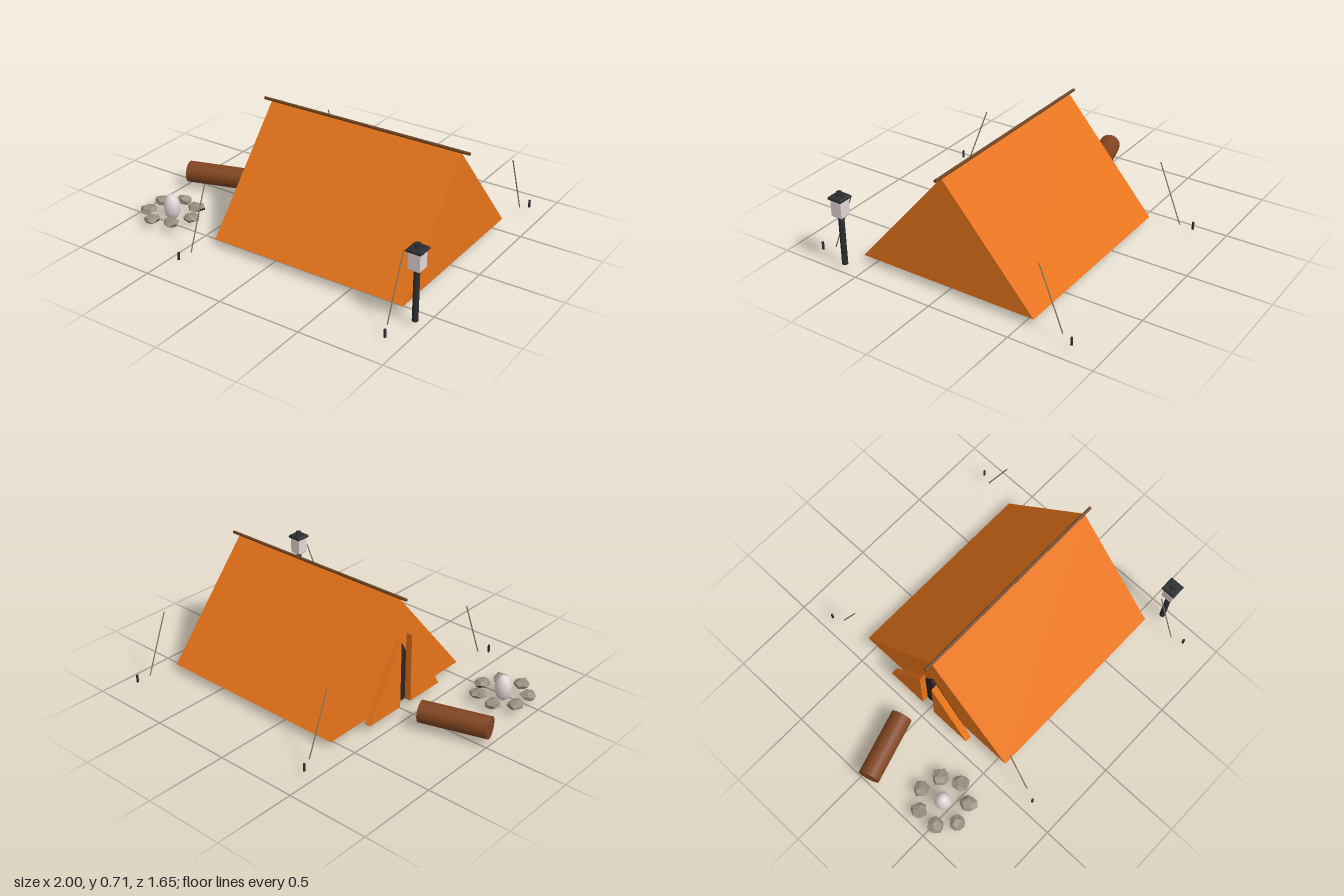
import * as THREE from 'three';

const mat = (name, color) => new THREE.MeshStandardMaterial({ name, color });

// Split a geometry in two material groups: 1 for faces that point down, 0 for the rest
function splitUnderside(geometry, limit) {
  const g = geometry.index ? geometry.toNonIndexed() : geometry;
  g.clearGroups();
  const n = g.attributes.normal;
  for (let i = 0; i < n.count; i += 3) {
    const down = (n.getY(i) + n.getY(i + 1) + n.getY(i + 2)) / 3 < limit;
    g.addGroup(i, 3, down ? 1 : 0);
  }
  return g;
}

export function createModel() {
  const M = {
    canvas: mat('orange canvas', 0xe87419),
    floor: mat('floor brown', 0x875026),
    wood: mat('log brown', 0x804420),
    pole: mat('pole brown', 0x6e4524),
    rope: mat('rope tan', 0x8a7a5e),
    metal: mat('dark metal', 0x2b2d30),
    opening: mat('doorway dark', 0x2a2322),
    stone: mat('stone grey', 0x968e80),
    soot: mat('dark underside', 0x393633),
    glow: mat('pale glow', 0xe2d4d4),
  };
  const model = new THREE.Group();
  model.name = 'campsite';

  const add = (name, geometry, material, x = 0, y = 0, z = 0, parent = model) => {
    const mesh = new THREE.Mesh(geometry, material);
    mesh.name = name;
    mesh.position.set(x, y, z);
    parent.add(mesh);
    return mesh;
  };

  // Triangular slab: corners are [z, y], running from x0 to x1
  const prism = (corners, x0, x1) => {
    const shape = new THREE.Shape(corners.map(([z, y]) => new THREE.Vector2(-z, y)));
    const g = new THREE.ExtrudeGeometry(shape, { depth: x1 - x0, bevelEnabled: false });
    return g.rotateY(Math.PI / 2).translate(x0, 0, 0);
  };

  // Round bar between two points
  const bar = (name, a, b, radius, material, parent) => {
    const from = new THREE.Vector3(...a), to = new THREE.Vector3(...b);
    const dir = to.clone().sub(from);
    const mesh = add(name, new THREE.CylinderGeometry(radius, radius, dir.length(), 16), material, 0, 0, 0, parent);
    mesh.position.copy(from).add(to).multiplyScalar(0.5);
    mesh.quaternion.setFromUnitVectors(new THREE.Vector3(0, 1, 0), dir.normalize());
  };

  // Tent body with a brown floor, doorway and the two opened flaps on the -x end
  const tent = new THREE.Group();
  tent.name = 'tent';
  model.add(tent);
  const body = prism([[0.56, 0.045], [-0.56, 0.045], [0, 0.695]], -0.38, 0.85);
  add('tentBody', splitUnderside(body, -0.9), [M.canvas, M.floor], 0, 0, 0, tent);
  add('doorway', prism([[0.225, 0.045], [-0.225, 0.045], [0, 0.435]], -0.4, -0.38), M.opening, 0, 0, 0, tent);
  for (const s of [-1, 1]) {
    add('doorFlap', prism([[s * 0.305, 0.045], [s * 0.045, 0.045], [s * 0.045, 0.47]], -0.44, -0.4), M.canvas, 0, 0, 0, tent);
  }
  bar('ridgePole', [-0.43, 0.7, 0], [0.9, 0.7, 0], 0.009, M.pole, tent);

  // Guy ropes and pegs at the four corners
  for (const [ropeX, pegX] of [[-0.4, -0.43], [0.87, 0.9]]) {
    for (const s of [-1, 1]) {
      bar('guyRope', [ropeX, 0.41, s * 0.605], [ropeX, 0.045, s * 0.748], 0.0035, M.rope, tent);
      bar('peg', [pegX, 0.022, s * 0.818], [pegX, 0.068, s * 0.818], 0.007, M.metal, tent);
    }
  }

  // Log seat with a dark strip underneath
  const logShape = new THREE.CylinderGeometry(0.065, 0.065, 0.404, 16).rotateZ(Math.PI / 2);
  add('log', splitUnderside(logShape, -0.8), [M.wood, M.soot], -0.79, 0.095, -0.003).rotation.y = 0.297;

  // Ring of irregular flattened stones, sooty below, around the pale fire
  const fire = new THREE.Group();
  fire.name = 'campfire';
  fire.position.set(-0.787, 0, 0.455);
  model.add(fire);
  let seed = 7;
  const rand = () => (seed = (seed * 16807) % 2147483647) / 2147483647;
  for (let i = 0; i < 7; i++) {
    const g = new THREE.DodecahedronGeometry(0.05, 0);
    const p = g.attributes.position, v = new THREE.Vector3();
    const bump = new Map();
    for (let k = 0; k < p.count; k++) {
      v.fromBufferAttribute(p, k);
      const key = v.toArray().map(n => Math.round(n * 1000)).join();
      if (!bump.has(key)) bump.set(key, 0.85 + rand() * 0.3);
      v.multiplyScalar(bump.get(key));
      p.setXYZ(k, v.x, v.y, v.z);
    }
    g.rotateX(rand() * 6).rotateY(rand() * 6).scale(1, 0.5, 1);
    g.computeVertexNormals();
    const a = (i / 7) * Math.PI * 2;
    add('stone', splitUnderside(g, -0.5), [M.stone, M.soot], Math.cos(a) * 0.145, 0.058, Math.sin(a) * 0.145, fire);
  }
  add('flame', new THREE.SphereGeometry(0.05, 12, 10).scale(1, 1.62, 1), M.glow, 0, 0.083, 0, fire);

  // Lantern on a post: square tiers turned from [half width, y] profiles
  const lamp = new THREE.Group();
  lamp.name = 'lantern';
  lamp.position.set(0.952, 0, 0.612);
  model.add(lamp);
  const tier = (name, profile, material) => {
    const pts = profile.map(([w, y]) => new THREE.Vector2(w * Math.SQRT2, y));
    const g = new THREE.LatheGeometry(pts, 4).rotateY(Math.PI / 4).toNonIndexed();
    g.computeVertexNormals();
    add(name, g, material, 0, 0, 0, lamp);
  };
  bar('lanternPost', [0, 0.025, 0], [0, 0.33, 0], 0.017, M.metal, lamp);
  tier('lanternGlass', [[0, 0.33], [0.03, 0.33], [0.035, 0.337], [0.035, 0.43], [0.03, 0.437], [0, 0.437]], M.glow);
  tier('lanternCap', [[0, 0.433], [0.04, 0.433], [0.045, 0.438], [0.045, 0.447], [0.038, 0.455], [0, 0.455]], M.metal);
  add('lanternKnob', new THREE.CylinderGeometry(0.016, 0.019, 0.023, 16), M.metal, 0, 0.466, 0, lamp);

  return model;
}
